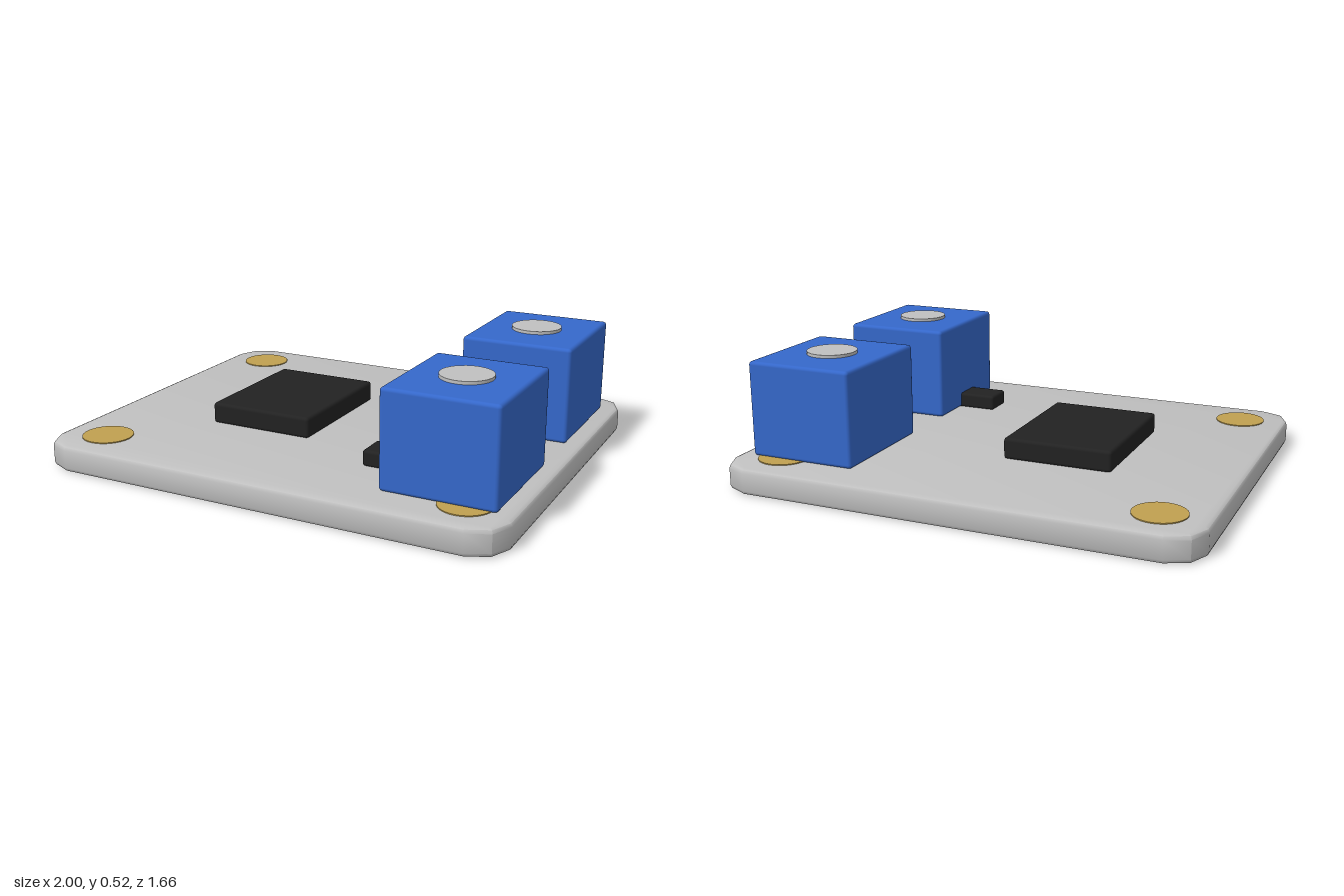
import * as THREE from 'three';
import { toCreasedNormals } from 'three/addons/utils/BufferGeometryUtils.js';
import { RoundedBoxGeometry } from 'three/addons/geometries/RoundedBoxGeometry.js';

const makeMaterial = (name, color) => {
  const m = new THREE.MeshStandardMaterial({ color });
  m.name = name;
  return m;
};

const BOARD_TOP = 0.11;

export function createModel() {
  const model = new THREE.Group();
  model.name = 'circuitBoard';
  const grey = makeMaterial('light grey', 0xc0c0c0);
  const blue = makeMaterial('terminal blue', 0x3568cb);
  const black = makeMaterial('chip black', 0x222222);
  const gold = makeMaterial('pad gold', 0xc0a050);

  const add = (name, geometry, material, x, y, z) => {
    const mesh = new THREE.Mesh(geometry, material);
    mesh.name = name;
    mesh.position.set(x, y, z);
    model.add(mesh);
    return mesh;
  };
  // Softly rounded block standing on the board
  const block = (name, w, h, d, material, x, z, radius) =>
    add(name, new RoundedBoxGeometry(w, h, d, 2, radius), material, x, BOARD_TOP + h / 2, z);

  // Board with clipped corners and bevelled rims
  const corner = [[1, 0.7], [0.96, 0.79], [0.87, 0.83]];
  const back = [...corner].reverse();
  const outline = [
    ...corner,
    ...back.map(([x, y]) => [-x, y]),
    ...corner.map(([x, y]) => [-x, -y]),
    ...back.map(([x, y]) => [x, -y]),
  ].map(([x, y]) => new THREE.Vector2(x, y));
  const bevel = 0.018;
  const boardGeometry = new THREE.ExtrudeGeometry(new THREE.Shape(outline), {
    depth: BOARD_TOP - 2 * bevel,
    bevelThickness: bevel,
    bevelSize: bevel,
    bevelOffset: -bevel,
    bevelSegments: 2,
  });
  boardGeometry.translate(0, 0, bevel).rotateX(-Math.PI / 2);
  add('board', toCreasedNormals(boardGeometry, 0.8), grey, 0, 0, 0);

  // Mounting pads at the four corners
  const padGeometry = new THREE.CylinderGeometry(0.106, 0.106, 0.008, 32);
  for (const x of [-0.8, 0.8]) {
    for (const z of [-0.635, 0.635]) add('mountingPad', padGeometry, gold, x, BOARD_TOP, z);
  }

  // Terminal blocks, each with a screw on top
  const screwGeometry = new THREE.CylinderGeometry(0.105, 0.105, 0.03, 32);
  for (const z of [-0.4, 0.4]) {
    block('terminalBlock', 0.465, 0.4, 0.53, blue, 0.698, z, 0.015);
    add('terminalScrew', screwGeometry, grey, 0.698, 0.508, z);
  }

  // Main chip and the small component beside the front terminal
  block('mainChip', 0.465, 0.09, 0.595, black, -0.267, -0.002, 0.014);
  block('smallComponent', 0.2, 0.066, 0.134, black, 0.4, 0.398, 0.012);

  return model;
}
